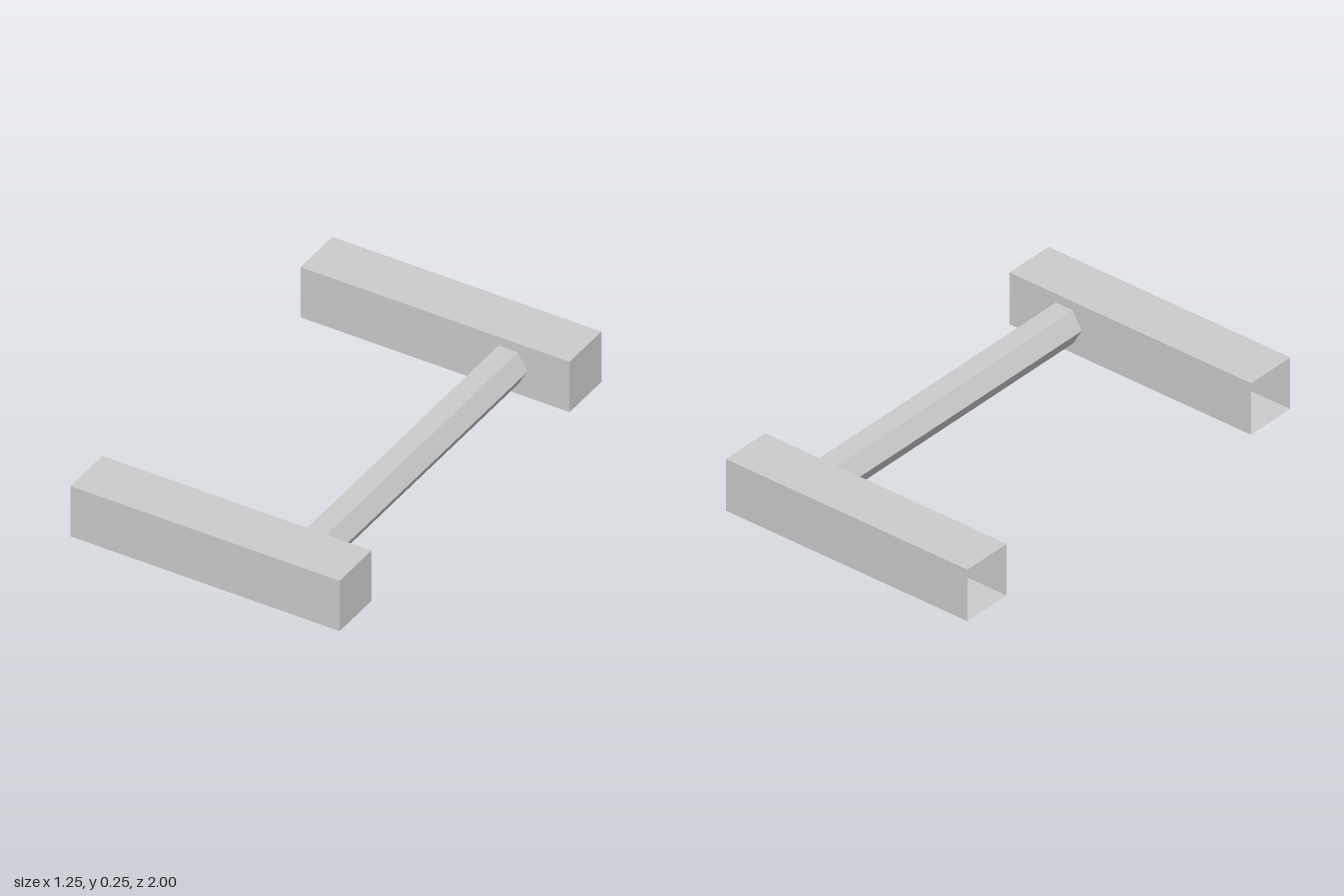
import * as THREE from 'three';

export function createModel() {
  const model = new THREE.Group();
  const grey = new THREE.MeshStandardMaterial({ color: 0xcccccc, flatShading: true, side: THREE.DoubleSide });
  grey.name = 'light grey';

  const barLength = 1.25, barHeight = 0.245, barDepth = 0.243;

  // Hollow bars, closed at +x and open at -x
  for (const [name, side] of [['frontBar', 1], ['backBar', -1]]) {
    const geometry = new THREE.BoxGeometry(barLength, barHeight, barDepth);
    const index = Array.from(geometry.index.array);
    index.splice(6, 6); // drop the -x end face
    geometry.setIndex(index);
    geometry.clearGroups();
    const bar = new THREE.Mesh(geometry, grey);
    bar.name = name;
    bar.position.set(0, barHeight / 2, side * (1 - barDepth / 2));
    model.add(bar);
  }

  // Hexagonal rod joining the bars, flat side up
  const rodLength = 2 - 2 * barDepth;
  const rodGeometry = new THREE.CylinderGeometry(0.09, 0.09, rodLength, 6, 1, true, Math.PI / 2);
  rodGeometry.rotateX(Math.PI / 2);
  const rod = new THREE.Mesh(rodGeometry, grey);
  rod.name = 'connectingRod';
  rod.position.set(0.34, 0.125, 0);
  model.add(rod);

  return model;
}
